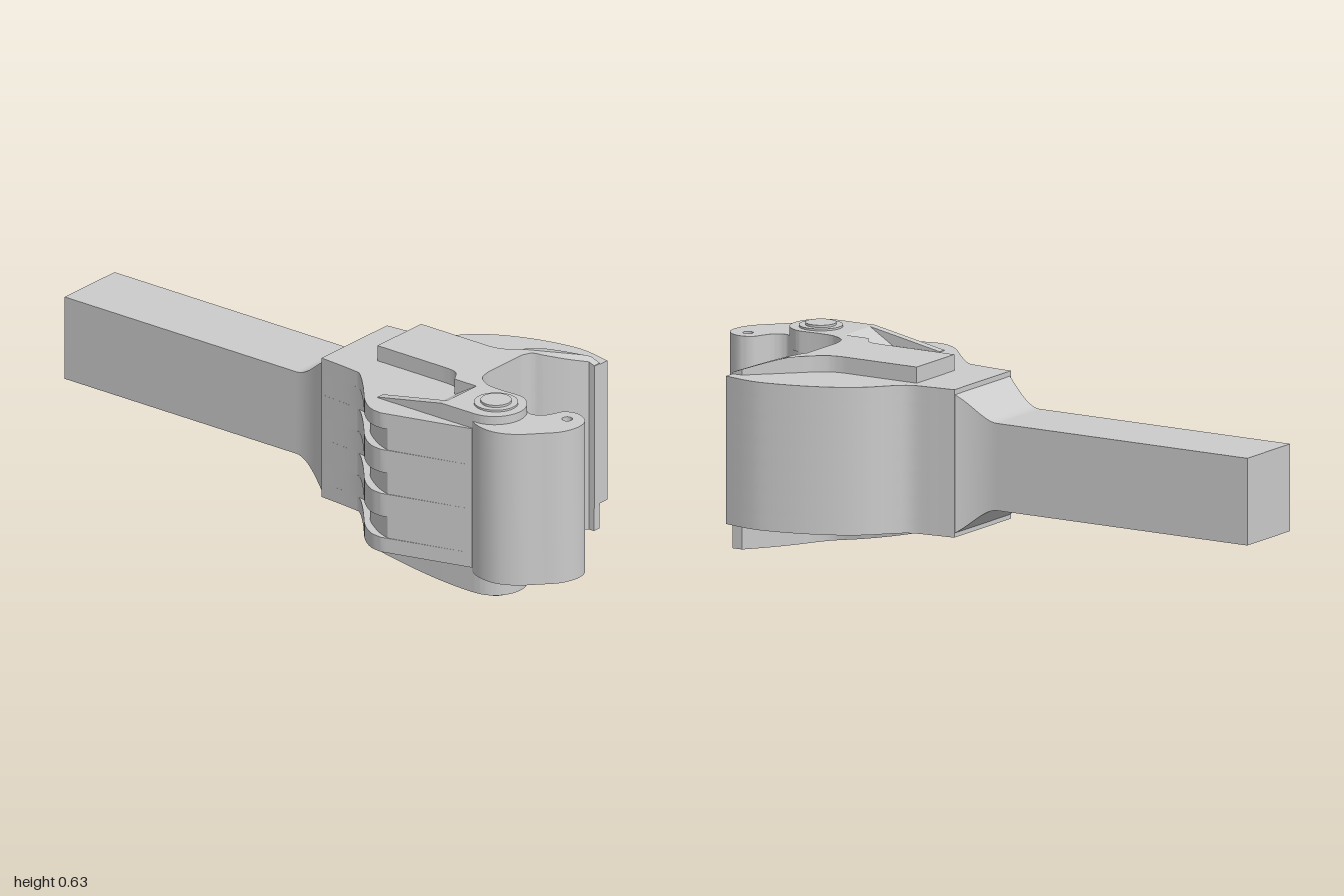
import * as THREE from 'three';
import { toCreasedNormals } from 'three/addons/utils/BufferGeometryUtils.js';

const material = new THREE.MeshStandardMaterial({ color: 0xcccccc });
const PIVOT = [-0.198, 0.727];

// Joins [x, z] runs into one outline: two points make a straight, more a smooth curve.
function outline(runs) {
  const pts = [];
  for (const run of runs) {
    const curve = new THREE.SplineCurve(run.map(([x, z]) => new THREE.Vector2(x, -z)));
    for (const p of curve.getPoints(run.length === 2 ? 10 : run.length * 5)) {
      if (!pts.length || p.distanceTo(pts[pts.length - 1]) > 1e-4) pts.push(p);
    }
  }
  if (pts[0].distanceTo(pts[pts.length - 1]) < 1e-4) pts.pop();
  return new THREE.Shape(pts);
}

// Extrudes a plan outline upward from y0 to y1.
function slab(shape, y0, y1) {
  const g = new THREE.ExtrudeGeometry(shape, { depth: y1 - y0, bevelEnabled: false, curveSegments: 24 });
  return g.rotateX(-Math.PI / 2).translate(0, y0, 0);
}

// Moves each vertex by a rule that edits it in place.
function reshape(g, rule) {
  const p = g.attributes.position, v = new THREE.Vector3();
  for (let i = 0; i < p.count; i++) {
    rule(v.fromBufferAttribute(p, i));
    p.setXYZ(i, v.x, v.y, v.z);
  }
  return g;
}

function box(x0, x1, y0, y1, z0, z1, segments = 1) {
  return new THREE.BoxGeometry(x1 - x0, y1 - y0, z1 - z0, 1, 1, segments)
    .translate((x0 + x1) / 2, (y0 + y1) / 2, (z0 + z1) / 2);
}

// Mouth of the jaw, shared by body and plates
const throat = [
  [[0.293, 0.715], [0.293, 0.695]],
  [[0.293, 0.695], [0.24, 0.652], [0.195, 0.605], [0.172, 0.575], [0.14, 0.56]],
  [[0.14, 0.56], [-0.02, 0.56]],
  [[-0.02, 0.56], [-0.068, 0.573], [-0.098, 0.615], [-0.105, 0.66], [-0.103, 0.727]],
];

// Back flank of the body, and the deeper line of its grip grooves
const flank = [[-0.38, 0.43], [-0.372, 0.385], [-0.335, 0.332], [-0.26, 0.265], [-0.195, 0.2], [-0.182, 0.165], [-0.17, 0.03]];
const groove = [[-0.372, 0.45], [-0.35, 0.395], [-0.3, 0.325], [-0.235, 0.275], [-0.203, 0.245], [-0.182, 0.165], [-0.17, 0.03]];

const bodyOutline = (side) => outline([
  [[-0.17, 0.03], [0.145, 0.03]],
  [[0.145, 0.03], [0.152, 0.1], [0.163, 0.17], [0.195, 0.215], [0.26, 0.275], [0.31, 0.35],
    [0.35, 0.45], [0.374, 0.56], [0.374, 0.63], [0.357, 0.715]],
  [[0.357, 0.715], [0.293, 0.715]],
  ...throat,
  [[-0.103, 0.727], [-0.3, 0.72]],
  [[-0.3, 0.72], side[0]],
  side,
]);

// Height of the upper and lower plate surfaces
const plateTop = (x, z) => (x > 0.1 && z > 0.57 ? 0.615 - 0.045 * ((z - 0.57) / 0.145) ** 1.2 : 0.615);
const plateBottom = (z) => 0.025 + 0.075 * Math.max(0, (0.7 - z) / 0.52) ** 1.7;

export function createModel() {
  const model = new THREE.Group();
  const add = (name, geometry, crease = 0.5) => {
    const mesh = new THREE.Mesh(crease ? toCreasedNormals(geometry, crease) : geometry, material);
    mesh.name = name;
    model.add(mesh);
  };

  // Handle bar flaring into the head
  add('handle', box(-0.13, 0.11, 0.2, 0.47, -1, -0.1));
  add('handleFlare', reshape(box(-1, 1, -1, 1, -0.1, 0.035, 14), (v) => {
    const t = (v.z + 0.1) / 0.135, s = t * t * (3 - 2 * t);
    const rise = 0.55 * s + 0.45 * t * t;
    v.x = -0.01 + v.x * 0.12 + (v.x > 0 ? 0.035 : -0.038) * t * t;
    v.y = 0.335 + v.y * (0.135 + 0.082 * rise);
  }));

  // Head body in layers, three of them cut back as grip grooves
  const levels = [0.107, 0.155, 0.225, 0.3, 0.37, 0.445, 0.515, 0.565];
  for (let i = 0; i < levels.length - 1; i++) {
    const cut = i % 2 === 1;
    add(cut ? 'gripGroove' : 'headBody', slab(bodyOutline(cut ? groove : flank), levels[i], levels[i + 1]));
  }

  // Raised plates above and below with an arm around the pivot
  const arc = [];
  for (let i = 0; i <= 12; i++) {
    const a = Math.PI * i / 12;
    arc.push([PIVOT[0] + 0.098 * Math.cos(a), PIVOT[1] + 0.097 * Math.sin(a)]);
  }
  arc[0] = [-0.103, 0.727];
  const plate = outline([
    [[-0.08, 0.175], [0.13, 0.175]],
    [[0.13, 0.175], [0.13, 0.44]],
    [[0.13, 0.44], [0.138, 0.48], [0.165, 0.52], [0.2, 0.555], [0.32, 0.68]],
    [[0.32, 0.68], [0.32, 0.715]],
    [[0.32, 0.715], [0.293, 0.715]],
    ...throat,
    arc,
    [arc[12], [-0.297, 0.6]],
    [[-0.297, 0.6], [-0.13, 0.6]],
    [[-0.13, 0.6], [-0.13, 0.515]],
    [[-0.13, 0.515], [-0.088, 0.485], [-0.08, 0.44]],
    [[-0.08, 0.44], [-0.08, 0.175]],
  ]);
  add('upperPlate', reshape(slab(plate, 0.55, 0.615), (v) => {
    if (v.y > 0.6) v.y = plateTop(v.x, v.z);
  }));
  add('lowerPlate', reshape(slab(plate, 0.025, 0.12), (v) => {
    if (v.y < 0.1) v.y = plateBottom(v.z);
  }));

  // Arm fins and the ramp beside the upper one
  add('upperFin', reshape(box(-0.297, -0.27, 0.55, 0.615, 0.35, 0.6), (v) => {
    if (v.y > 0.6 && v.z < 0.4) v.y = 0.567;
  }));
  add('upperRamp', reshape(box(-0.27, -0.13, 0.55, 0.615, 0.52, 0.6), (v) => {
    if (v.y > 0.6 && v.z < 0.55) v.y = 0.566;
  }));
  add('lowerFin', reshape(box(-0.297, -0.27, 0.025, 0.12, 0.35, 0.6, 8), (v) => {
    if (v.y < 0.1) v.y = plateBottom(v.z);
  }));

  // Claw tip joining both plates at the jaw's front
  add('clawEdge', box(0.293, 0.32, 0.1, 0.568, 0.69, 0.716));

  // Swinging pawl with a small pin hole
  const pawl = outline([[
    [-0.2, 0.65], [-0.265, 0.675], [-0.3, 0.725], [-0.318, 0.775], [-0.317, 0.83], [-0.29, 0.885], [-0.24, 0.935],
    [-0.19, 0.978], [-0.13, 0.995], [-0.078, 0.98], [-0.051, 0.93], [-0.065, 0.888], [-0.1, 0.871],
    [-0.13, 0.852], [-0.142, 0.815], [-0.118, 0.78], [-0.103, 0.73], [-0.125, 0.68], [-0.2, 0.65],
  ]]);
  pawl.holes.push(new THREE.Path().absarc(-0.102, -0.93, 0.016, 0, Math.PI * 2, true));
  add('pawl', slab(pawl, 0.09, 0.588));

  // Pivot pin with a washer at each end
  const disc = (r, y0, y1) =>
    new THREE.CylinderGeometry(r, r, y1 - y0, 40).translate(PIVOT[0] + 0.005, (y0 + y1) / 2, PIVOT[1]);
  add('pivotWasher', disc(0.067, 0.015, 0.621));
  add('pivotPin', disc(0.047, 0, 0.628));

  return model;
}
